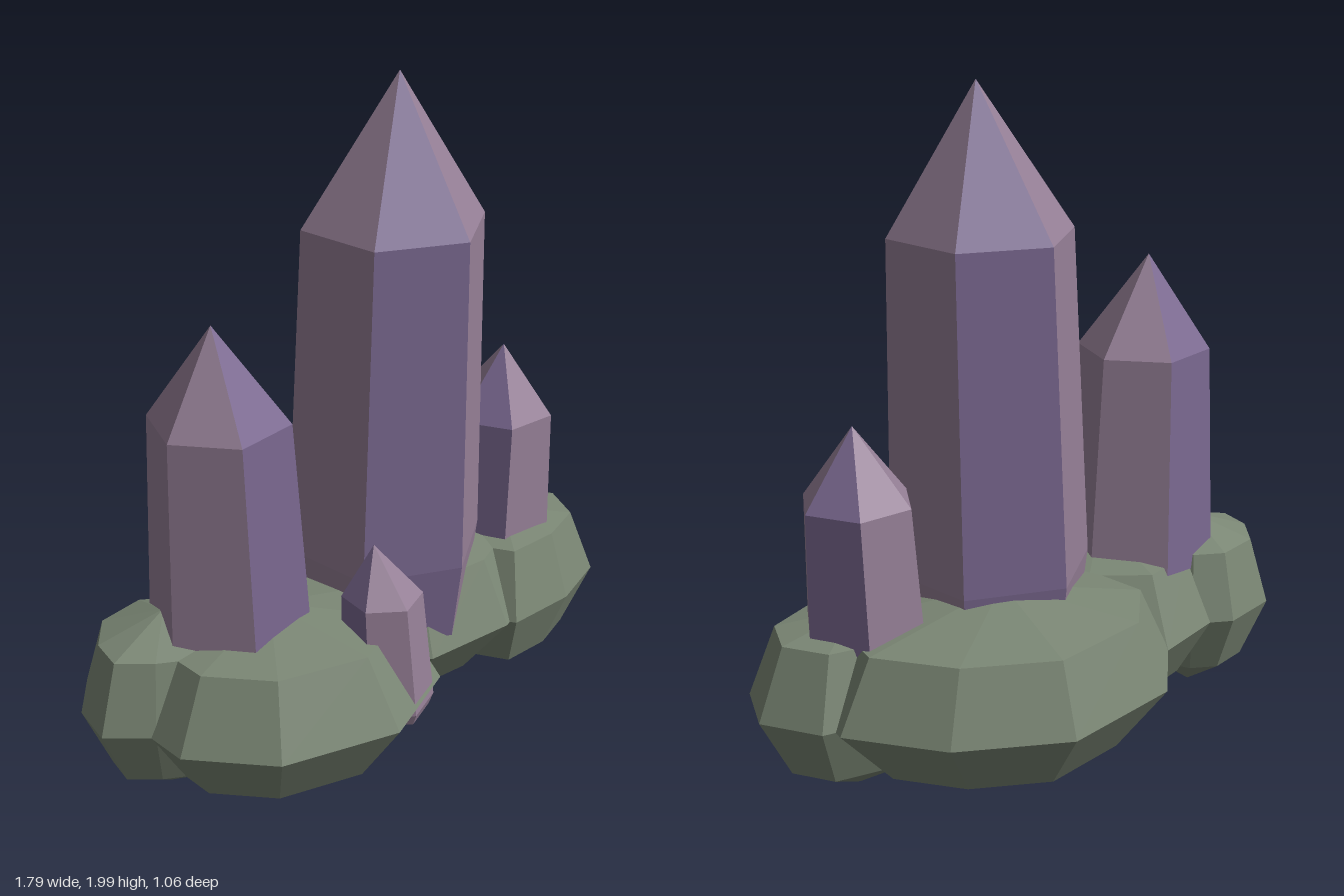
import * as THREE from 'three';

// Joins rings of [x, y, z] points (bottom to top, counter-clockwise from above) into faceted columns.
// A ring with one point is a pole. Each column gets its own material group.
function loft(rings, materialOf = () => 0) {
  const count = Math.max(...rings.map((r) => r.length));
  const at = (ring, i) => ring[i % ring.length];
  const positions = [];
  const geometry = new THREE.BufferGeometry();
  for (let i = 0; i < count; i++) {
    const start = positions.length / 3;
    for (let k = 0; k < rings.length - 1; k++) {
      const low = rings[k], high = rings[k + 1];
      const a = at(low, i), b = at(low, i + 1), c = at(high, i + 1), d = at(high, i);
      if (low.length > 1) positions.push(...a, ...b, ...c);
      if (high.length > 1) positions.push(...a, ...c, ...d);
    }
    geometry.addGroup(start, positions.length / 3 - start, materialOf(i));
  }
  geometry.setAttribute('position', new THREE.Float32BufferAttribute(positions, 3));
  geometry.computeVertexNormals(); // unshared corners give flat facets
  return geometry;
}

// Six-sided ring around [x, y, z]
function hexRing([x, y, z], radius, degrees) {
  return Array.from({ length: 6 }, (_, i) => {
    const t = THREE.MathUtils.degToRad(degrees + 60 * i);
    return [x + radius * Math.sin(t), y, z + radius * Math.cos(t)];
  });
}

// Boulder from its widest outline, drawn in towards two poles
function rockGeometry({ centre: [cx, cz], outline, top, upper, lower }) {
  const ring = (scale, y) => outline.map(([x, z]) => [cx + (x - cx) * scale, y, cz + (z - cz) * scale]);
  return loft([
    [[cx, 0.01, cz]],
    ring(lower, 0.125),
    ring(1, 0.315),
    ring(upper, 0.52),
    [[cx, top, cz]],
  ]);
}

// Tapered crystal: narrowed foot, base ring, shoulder ring and pointed tip
function crystalGeometry({ foot, base, shoulder, tip, radii, turn }) {
  return loft([
    [foot],
    hexRing(foot, radii[0] * 0.9, turn),
    hexRing(base, radii[0], turn),
    hexRing(shoulder, radii[1], turn),
    [tip],
  ], (i) => (i % 3 === 0 ? 0 : 1));
}

const ROCKS = [
  { name: 'largeBackRock', centre: [0.2, -0.1], top: 0.6, upper: 0.82, lower: 0.7,
    outline: [[0.05, 0.33], [0.35, 0.35], [0.7, 0.2], [0.77, -0.09], [0.6, -0.35],
      [0.31, -0.53], [-0.08, -0.49], [-0.28, -0.3], [-0.25, 0.1]] },
  { name: 'frontRock', centre: [-0.38, 0.1], top: 0.58, upper: 0.76, lower: 0.72,
    outline: [[-0.28, 0.53], [0, 0.41], [0.04, 0.15], [-0.08, -0.15], [-0.27, -0.31],
      [-0.51, -0.26], [-0.8, 0.08], [-0.8, 0.22], [-0.62, 0.43]] },
  { name: 'smallBackRock', centre: [-0.63, -0.06], top: 0.59, upper: 0.76, lower: 0.68,
    outline: [[-0.62, 0.2], [-0.45, 0.12], [-0.4, -0.08], [-0.46, -0.23], [-0.57, -0.3],
      [-0.76, -0.27], [-0.87, -0.14], [-0.9, 0], [-0.79, 0.1]] },
  { name: 'sideRock', centre: [0.56, 0.12], top: 0.56, upper: 0.74, lower: 0.7,
    outline: [[0.38, 0.36], [0.61, 0.36], [0.81, 0.29], [0.89, 0.12], [0.8, -0.05],
      [0.5, -0.13], [0.33, 0], [0.29, 0.2]] },
];

const CRYSTALS = [
  { name: 'tallCrystal', foot: [0.11, 0.36, 0.055], base: [0.11, 0.6, 0.055],
    shoulder: [0.13, 1.58, 0.06], tip: [0.145, 2, 0.06], radii: [0.3, 0.27], turn: -55 },
  { name: 'mediumCrystal', foot: [-0.445, 0.34, 0.01], base: [-0.45, 0.48, 0.01],
    shoulder: [-0.475, 1.15, 0.02], tip: [-0.5, 1.43, 0.03], radii: [0.235, 0.2], turn: -21 },
  { name: 'shortCrystal', foot: [0.54, 0.34, 0.085], base: [0.545, 0.45, 0.085],
    shoulder: [0.56, 0.89, 0.09], tip: [0.56, 1.105, 0.1], radii: [0.185, 0.165], turn: 267 },
  { name: 'smallCrystal', foot: [-0.15, 0.255, 0.35], base: [-0.15, 0.29, 0.35],
    shoulder: [-0.16, 0.62, 0.33], tip: [-0.17, 0.77, 0.305], radii: [0.13, 0.115], turn: 53 },
];

export function createModel() {
  const material = (name, color) => Object.assign(new THREE.MeshStandardMaterial({ color }), { name });
  const stone = material('mossy stone', 0x7a8674);
  const violet = material('violet crystal', 0x7a6890);
  const mauve = material('mauve crystal', 0x957f96);

  const model = new THREE.Group();
  model.name = 'crystalCluster';
  const add = (name, geometry, materials) => {
    const mesh = new THREE.Mesh(geometry, materials);
    mesh.name = name;
    model.add(mesh);
  };
  for (const rock of ROCKS) add(rock.name, rockGeometry(rock), [stone]);
  for (const crystal of CRYSTALS) add(crystal.name, crystalGeometry(crystal), [violet, mauve]);
  return model;
}
